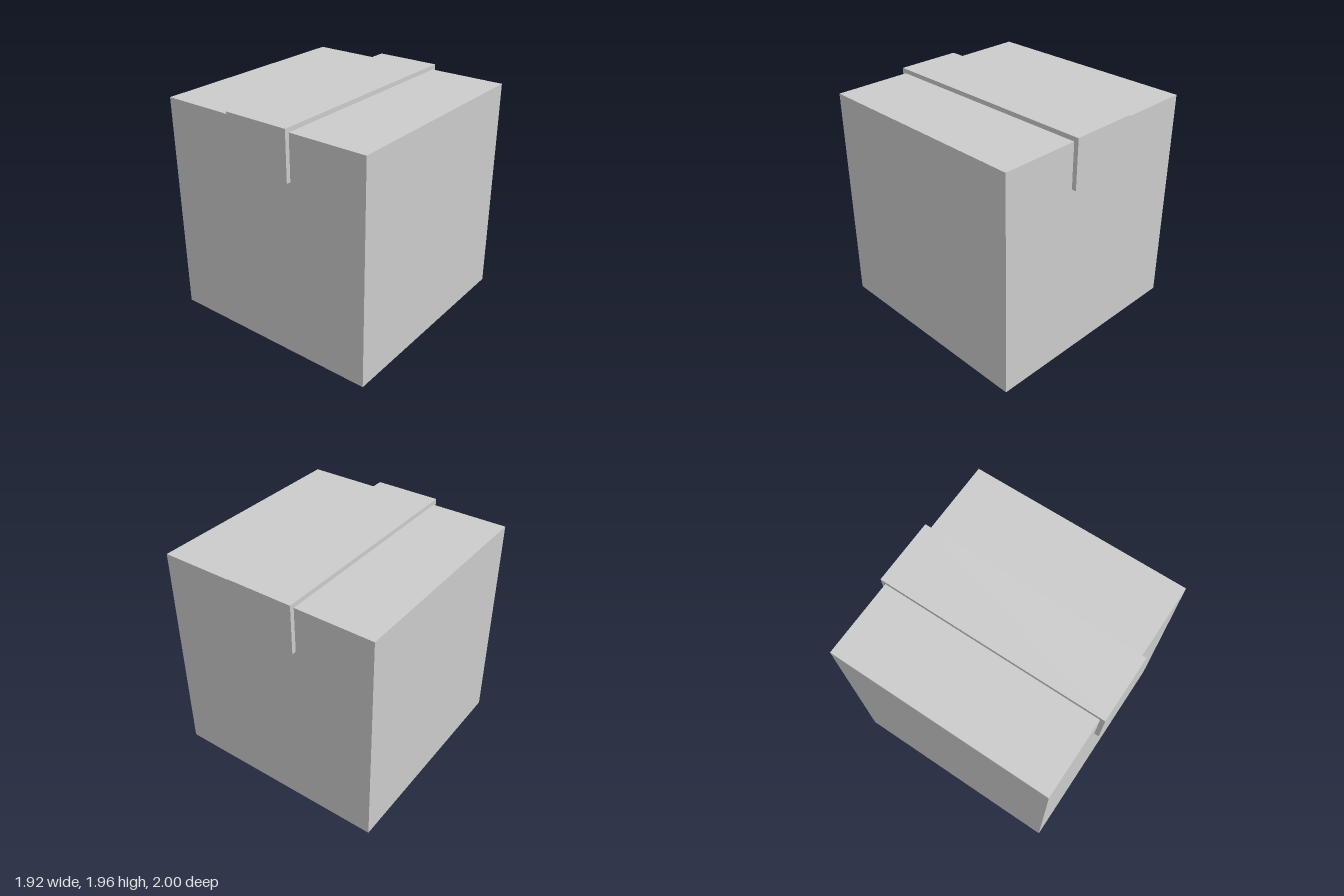
import * as THREE from 'three';

export function createModel() {
  const group = new THREE.Group();
  const material = new THREE.MeshStandardMaterial({ color: 0xcccccc, flatShading: true });
  const side = 1.923;       // edge of the carton
  const thick = 0.0385;     // tape thickness
  const tapeWidth = 0.577;
  const tapeBottom = 1.538; // lower end of the tape flaps

  // Carton body
  const carton = new THREE.Mesh(new THREE.BoxGeometry(side, side, side), material);
  carton.name = 'carton';
  carton.position.y = side / 2;
  group.add(carton);

  // Tape strip: a U profile folded over the top, front and back
  const inner = side / 2, outer = inner + thick;
  const profile = new THREE.Shape([
    [-outer, tapeBottom], [-inner, tapeBottom], [-inner, side], [inner, side],
    [inner, tapeBottom], [outer, tapeBottom], [outer, side + thick], [-outer, side + thick],
  ].map(([z, y]) => new THREE.Vector2(z, y)));
  const tapeGeometry = new THREE.ExtrudeGeometry(profile, { depth: tapeWidth, bevelEnabled: false });
  tapeGeometry.translate(0, 0, -tapeWidth / 2).rotateY(Math.PI / 2);
  const tape = new THREE.Mesh(tapeGeometry, material);
  tape.name = 'tapeStrip';
  group.add(tape);

  return group;
}
